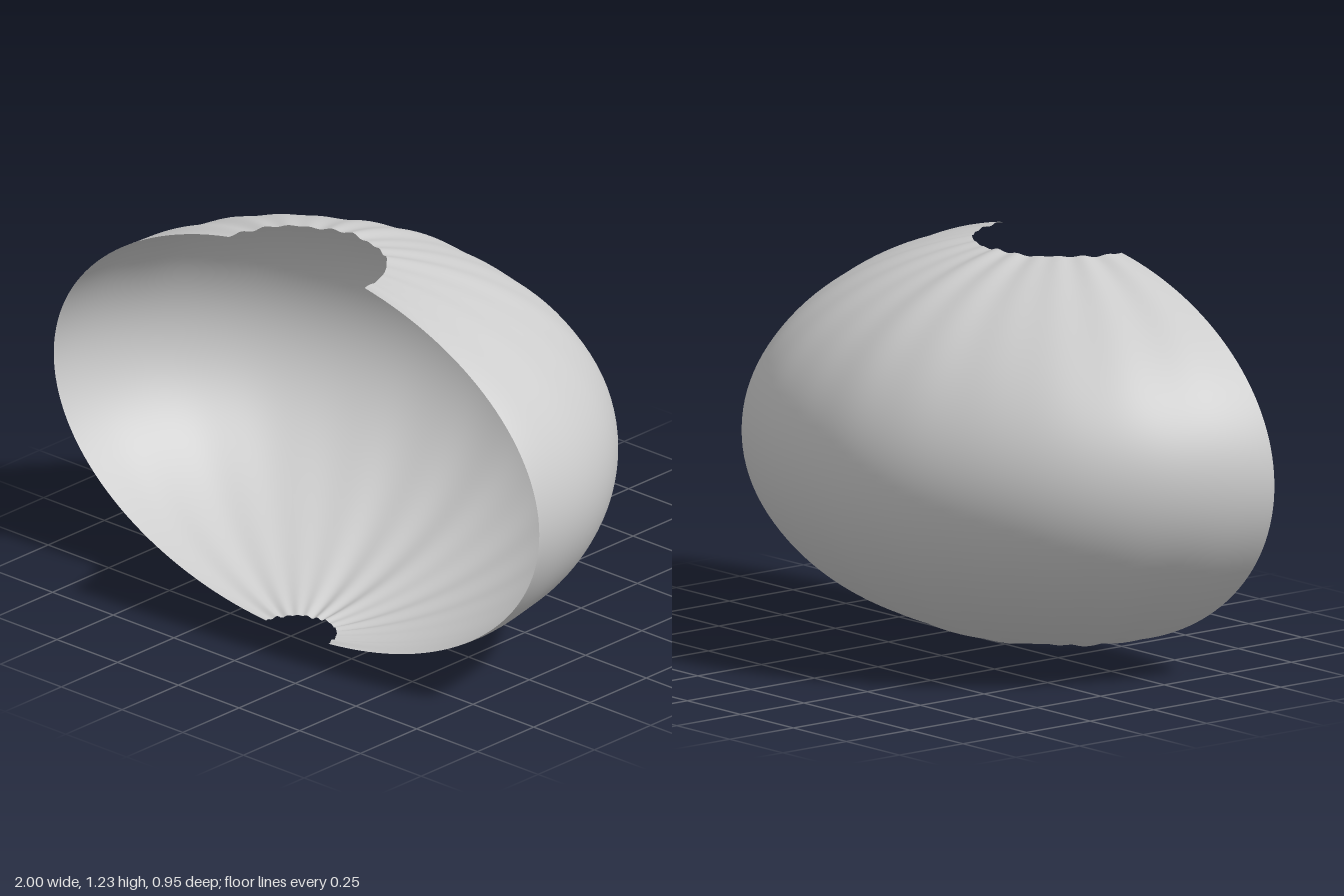
import * as THREE from 'three';

const CUT_Z = 0.475;          // plane where the half shell is cut open
const MID_Y = 0.63, HALF_HEIGHT = 0.625;
const BOTTOM = -1.445, TOP = 1.287; // latitudes of the two rim openings

// Pleats fade out at the belly and gather toward the openings
function pleat(angle, lat) {
  const gather = Math.sin(lat) ** 2;
  const fine = 0.6 * Math.sin(24 * angle) + 0.4 * Math.sin(17 * angle + 0.8 * Math.sin(3 * angle));
  const broad = Math.sin(8 * angle + 0.5 * lat) * Math.sin(angle);
  return 0.007 * gather * fine + 0.004 * broad;
}

// Half of a squashed shell with open, softly pleated ends
function shellGeometry() {
  const geo = new THREE.PlaneGeometry(1, 1, 180, 64);
  const pos = geo.attributes.position;
  for (let i = 0; i < pos.count; i++) {
    const angle = Math.PI * (pos.getX(i) + 0.5);
    const lat = THREE.MathUtils.lerp(BOTTOM, TOP, pos.getY(i) + 0.5);
    const swell = 1 + pleat(angle, lat);
    const flatten = 1 - 0.05 * Math.max(0, Math.sin(angle)) ** 1.5; // shallower at the back
    const r = Math.cos(lat) * flatten * swell;
    pos.setXYZ(
      i,
      r * Math.cos(angle),
      MID_Y + HALF_HEIGHT * Math.sin(lat) * swell,
      CUT_Z - r * Math.sin(angle)
    );
  }
  geo.computeVertexNormals();
  return geo;
}

export function createModel() {
  const group = new THREE.Group();
  group.name = 'pleatedHalfShade';

  const paleGrey = new THREE.MeshStandardMaterial({ color: 0xcccccc, side: THREE.DoubleSide });
  paleGrey.name = 'paleGrey';

  const shell = new THREE.Mesh(shellGeometry(), paleGrey);
  shell.name = 'pleatedShell';
  group.add(shell);
  return group;
}
